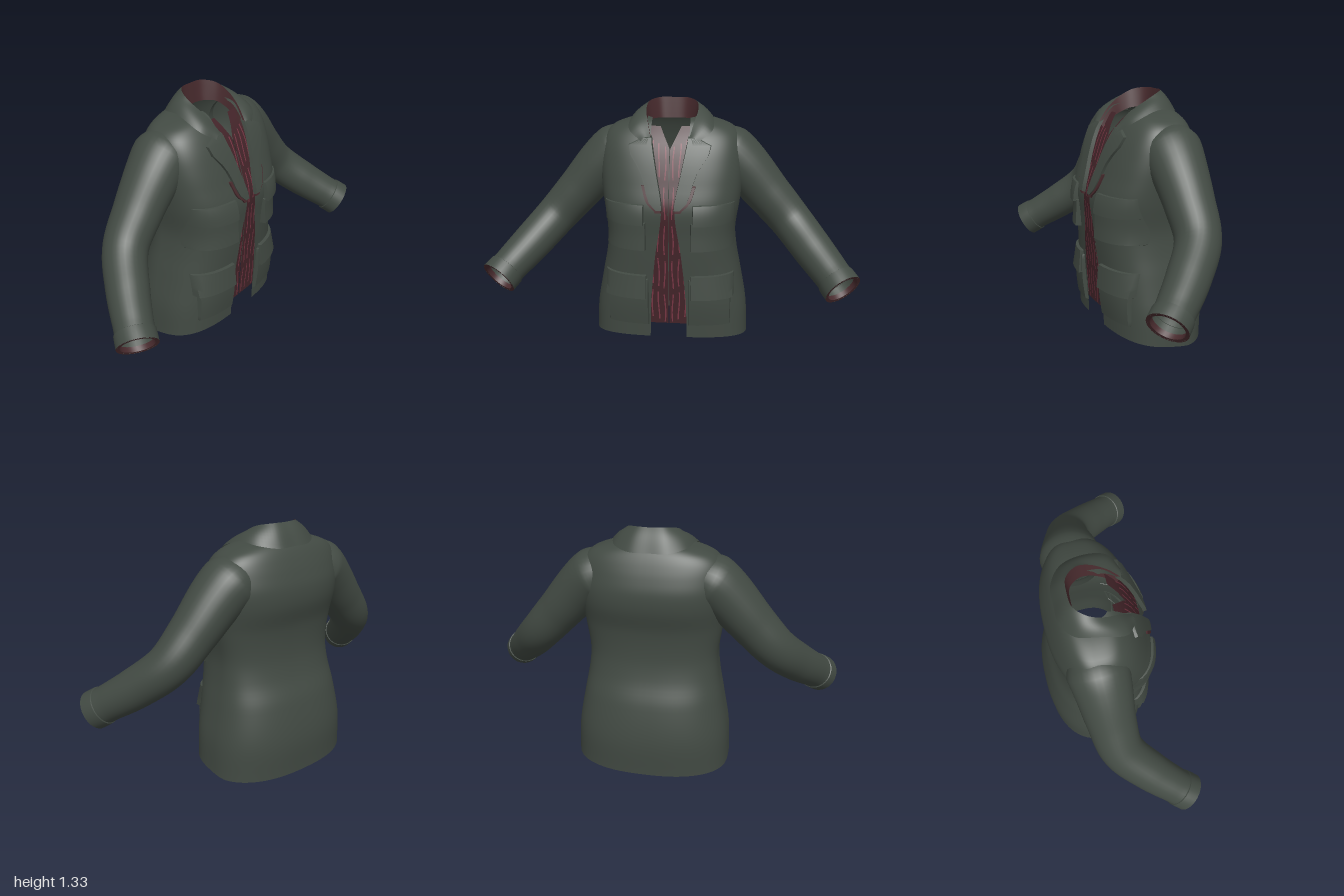
import * as THREE from 'three';
import { mergeVertices, toCreasedNormals } from 'three/addons/utils/BufferGeometryUtils.js';

const cloth = (name, color) => {
  const m = new THREE.MeshStandardMaterial({ color, side: THREE.DoubleSide });
  m.name = name;
  return m;
};

// Smooth lookup in a table of [y, value, value...] rows
function lookup(table, y) {
  const n = table.length;
  if (y <= table[0][0]) return table[0].slice(1);
  if (y >= table[n - 1][0]) return table[n - 1].slice(1);
  let i = 0;
  while (table[i + 1][0] < y) i++;
  const p = table[i], q = table[i + 1], h = q[0] - p[0], t = (y - p[0]) / h;
  const a = table[Math.max(i - 1, 0)], b = table[Math.min(i + 2, n - 1)];
  return p.slice(1).map((v, j) => {
    const k = j + 1, w = q[k];
    const m0 = (w - a[k]) / (q[0] - a[0]) * h, m1 = (b[k] - v) / (b[0] - p[0]) * h;
    return v + t * m0 + t * t * (3 * (w - v) - 2 * m0 - m1) + t * t * t * (2 * (v - w) + m0 + m1);
  });
}

// Body sections: y, half width, front z, back z, middle z
const BODY = [
  [0, .43, .205, -.345, -.06], [.2, .42, .212, -.35, -.06], [.4, .385, .225, -.315, -.06],
  [.53, .36, .235, -.27, -.06], [.65, .35, .242, -.25, -.06], [.8, .37, .25, -.258, -.06],
  [.93, .385, .213, -.292, -.07], [1.02, .388, .183, -.295, -.08], [1.1, .38, .15, -.275, -.085],
  [1.16, .36, .115, -.252, -.09], [1.2, .32, .083, -.232, -.09], [1.225, .26, .062, -.215, -.09],
  [1.24, .2, .045, -.2, -.09], [1.25, .13, .03, -.175, -.085],
];
// Half width of the front opening
const OPENING = [[0, .1], [.3, .092], [.55, .068], [.8, .035], [1, .068], [1.18, .1], [1.25, .1]];
const gap = y => lookup(OPENING, y)[0];
const NF = 3, NB = 2.4;
function frontZ(x, y) {
  const [hw, zf, , zc] = lookup(BODY, y);
  return zc + (zf - zc) * Math.pow(Math.max(0, 1 - Math.pow(Math.abs(x) / hw, NF)), 1 / NF);
}

// Surface from a rule (u, v) -> [x, y, z]
function surface(name, material, us, vs, rule, crease) {
  const list = s => Array.isArray(s) ? s : Array.from({ length: s + 1 }, (_, i) => i / s);
  const U = list(us), V = list(vs), pos = [], idx = [], w = U.length;
  V.forEach(v => U.forEach(u => pos.push(...rule(u, v))));
  for (let j = 0; j < V.length - 1; j++) for (let i = 0; i < w - 1; i++) {
    const a = j * w + i;
    idx.push(a, a + 1, a + w + 1, a, a + w + 1, a + w);
  }
  let g = new THREE.BufferGeometry();
  g.setAttribute('position', new THREE.Float32BufferAttribute(pos, 3));
  g.setIndex(idx);
  g = mergeVertices(g, 1e-5);
  g.computeVertexNormals();
  if (crease) g = toCreasedNormals(g, crease);
  const mesh = new THREE.Mesh(g, material);
  mesh.name = name;
  return mesh;
}

// Cloth panel laid over the front, mirrored by side; raised panels get closed edges
const EDGED = [0, .025, .12, .25, .38, .5, .62, .75, .88, .975, 1];
function panel(name, mat, side, xa, xb, y0, y1, offset, raised = true) {
  const f = k => typeof k === 'function' ? k : () => k;
  const A = f(xa), B = f(xb), O = f(offset);
  const rule = (u, v) => {
    const y = y0 + (y1 - y0) * v, x = A(y) + (B(y) - A(y)) * u;
    const rim = raised && (u === 0 || u === 1 || v === 0 || v === 1);
    return [side * x, y, frontZ(x, y) + (rim ? -.006 : O(u, v))];
  };
  return surface(name, mat, raised ? EDGED : 8, raised ? EDGED : 40, rule, raised ? .7 : 0);
}

// Sleeve centres with radius
const ARM = [
  [.23, 1.08, -.09, .12], [.31, 1.05, -.085, .148], [.39, .98, -.077, .14], [.52, .835, -.065, .124],
  [.65, .69, -.035, .113], [.77, .56, .09, .107], [.86, .468, .208, .097], [.91, .415, .28, .097],
];
function sleevePoint(side, curve) {
  return (u, t, extra = 0) => {
    const c = curve.getPoint(t), T = curve.getTangent(t);
    const B = new THREE.Vector3(0, 0, 1).addScaledVector(T, -T.z).normalize();
    const N = new THREE.Vector3().crossVectors(T, B);
    const k = t * (ARM.length - 1), i = Math.min(Math.floor(k), ARM.length - 2);
    const r = THREE.MathUtils.lerp(ARM[i][3], ARM[i + 1][3], k - i) + extra;
    const a = u % 1 * Math.PI * 2, wide = 1.1 - .1 * Math.min(1, t * 1.5);
    c.addScaledVector(B, Math.cos(a) * r * wide).addScaledVector(N, Math.sin(a) * r);
    return [side * c.x, c.y, c.z];
  };
}

export function createModel() {
  const green = cloth('jacket green', 0x424a43);
  const lining = cloth('lining maroon', 0x472a2d);
  const shirtRed = cloth('shirt dark red', 0x432429);
  const stripeRed = cloth('shirt stripe red', 0x783644);
  const root = new THREE.Group();
  root.name = 'jacket';

  // Body shell, open at the front, with the hem dipping to the back
  root.add(surface('body', green, 96, 64, (u, v) => {
    const y = 1.25 * (1 - Math.pow(1 - v, 1.6));
    const [hw, zf, zb, zc] = lookup(BODY, y);
    const a0 = Math.asin(Math.pow(Math.min(.98, gap(y) / hw), NF / 2));
    const a = a0 + (Math.PI * 2 - 2 * a0) * u, c = Math.cos(a), s = Math.sin(a);
    const e = 2 / (c > 0 ? NF : NB);
    const x = hw * Math.sign(s) * Math.pow(Math.abs(s), e);
    const z = zc + ((c > 0 ? zf : zb) - zc) * Math.pow(Math.abs(c), e);
    const lift = Math.max(0, 1 - y / .3) * Math.max(.004, .005 + .18 * (z + .15));
    return [x, y + lift, z];
  }));

  // Collar: three half curves from centre back to the front ends
  const half = pts => {
    const full = [...pts.slice(1).reverse().map(([x, y, z]) => [-x, y, z]), ...pts];
    return new THREE.CatmullRomCurve3(full.map(p => new THREE.Vector3(...p)));
  };
  const fold = half([[0, 1.335, -.16], [.075, 1.335, -.15], [.128, 1.322, -.09], [.138, 1.288, -.02], [.122, 1.235, .06], [.1, 1.16, .128]]);
  const outer = half([[0, 1.222, -.23], [.1, 1.222, -.225], [.185, 1.238, -.165], [.215, 1.25, -.06], [.217, 1.195, .085], [.15, 1.145, .138]]);
  const base = half([[0, 1.225, -.145], [.07, 1.225, -.135], [.112, 1.225, -.08], [.12, 1.205, -.02], [.108, 1.18, .04], [.09, 1.13, .105]]);
  const between = (p, q, bulge) => (u, v) => {
    const a = p.getPoint(u).lerp(q.getPoint(u), v), b = bulge * Math.sin(v * Math.PI);
    return [a.x * (1 + b * 2), a.y + b, a.z];
  };
  root.add(surface('collar', green, 60, 8, between(outer, fold, .012)));
  root.add(surface('collarLining', lining, 60, 4, between(fold, base, 0)));

  // Lapel outline
  const LAPEL = [[.8, .05], [.84, .095], [.9, .118], [.97, .138], [1.04, .175], [1.12, .222], [1.15, .15], [1.17, .14]];
  const lapelEdge = y => lookup(LAPEL, y)[0];
  const arm = new THREE.CatmullRomCurve3(ARM.map(p => new THREE.Vector3(p[0], p[1], p[2])));

  for (const side of [1, -1]) {
    const hand = side > 0 ? 'left' : 'right';
    const g = new THREE.Group();
    g.name = hand + 'Half';
    root.add(g);

    // Lapel and its lining showing at the lower edge
    g.add(panel('lapel', green, side, y => gap(y) - .004, lapelEdge, .8, 1.17, .016));
    g.add(panel('lapelLining', lining, side, gap, y => lapelEdge(y) + .016, .79, .93, .009));

    // Pockets with overlapping flaps
    const flap = (u, v) => .014 + .02 * (1 - v);
    g.add(panel('chestPocket', green, side, .115, .345, .585, .74, flap));
    g.add(panel('chestFlap', green, side, .125, .345, .725, .835, (u, v) => .012 + .02 * (1 - v)));
    g.add(panel('hipPocket', green, side, .105, .335, .14, .42, (u, v) => .012 + .01 * Math.sin(v * Math.PI)));
    g.add(panel('hipFlap', green, side, .115, .35, .305, .44, (u, v) => .018 + .022 * (1 - v)));

    // Sleeve, cuff and cuff lining
    const at = sleevePoint(side, arm);
    g.add(surface('sleeve', green, 32, 48, (u, v) => at(u, v)));
    const cuff = [[.9, -.002], [.905, .005], [.95, .006], [1, .006]];
    g.add(surface('cuff', green, 32, [0, 1, 2, 3], (u, k) => at(u, ...cuff[k]), .7));
    const rim = [[1, .006], [.998, -.012], [.96, -.014]];
    g.add(surface('cuffLining', lining, 32, [0, 1, 2], (u, k) => at(u, ...rim[k]), .7));

    // Shirt front, parted at the neck
    const part = y => Math.max(.002, (y - 1.1) * .5);
    const shirtSide = y => y < .95 ? .2 : .2 - (y - .95) * .34;
    g.add(panel('shirtFront', shirtRed, side, part, shirtSide, .14, 1.21, -.028, false));
    // Broken shirt stripes on both faces
    for (let k = 0; k < 6; k++) for (let d = 0; d < 5; d++) {
      const x = .018 + k * .033, y0 = .15 + d * .2 + (k % 3) * .015, y1 = Math.min(y0 + .165, 1.15);
      if (x + .01 > shirtSide(y1)) continue;
      const wave = y => x + .004 * Math.sin(y * 23 + k);
      const left = y => Math.max(part(y), wave(y)), right = y => Math.max(part(y), wave(y)) + .007;
      for (const o of [-.0255, -.0305]) {
        g.add(panel('shirtStripe', stripeRed, side, left, right, y0, y1, o, false));
      }
    }
  }
  return root;
}
